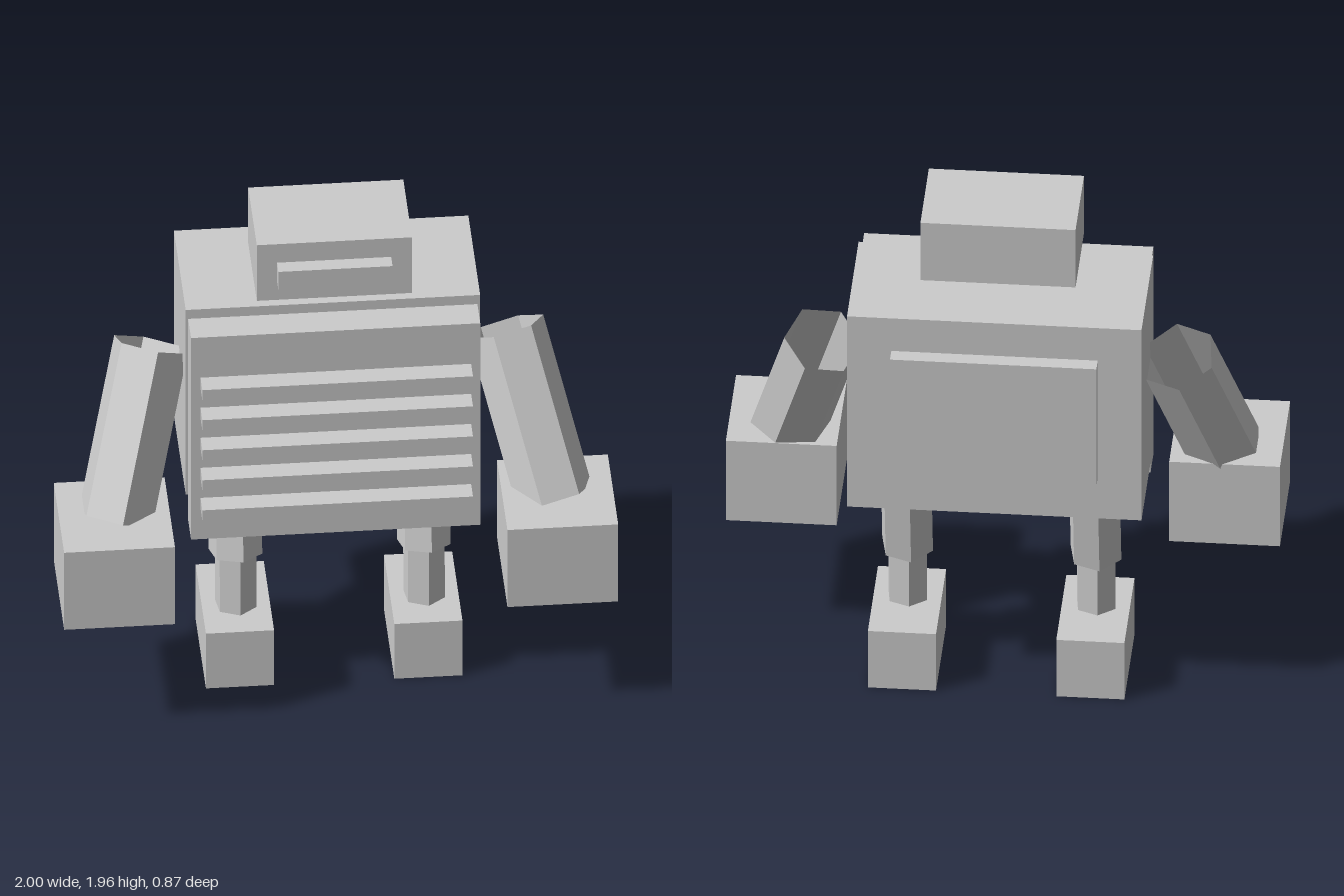
import * as THREE from 'three';

const grey = new THREE.MeshStandardMaterial({ color: 0xcccccc });
grey.name = 'lightGrey';
grey.flatShading = true;
grey.side = THREE.DoubleSide; // limb tubes are open at both ends

export function createModel() {
  const model = new THREE.Group();
  model.name = 'robot';

  // box given by its limits on each axis
  function box(name, [x0, x1], [y0, y1], [z0, z1], parent = model) {
    const mesh = new THREE.Mesh(new THREE.BoxGeometry(x1 - x0, y1 - y0, z1 - z0), grey);
    mesh.position.set((x0 + x1) / 2, (y0 + y1) / 2, (z0 + z1) / 2);
    mesh.name = name;
    parent.add(mesh);
  }

  // open six-sided tube from a bottom point to a top point, turned about its own axis
  function limb(name, bottom, top, radius, twistDegrees) {
    const a = new THREE.Vector3(...bottom);
    const b = new THREE.Vector3(...top);
    const up = b.clone().sub(a);
    const geometry = new THREE.CylinderGeometry(radius, radius, up.length(), 6, 1, true);
    geometry.rotateY(THREE.MathUtils.degToRad(twistDegrees));
    up.normalize();
    const front = new THREE.Vector3(0, 0, 1).addScaledVector(up, -up.z).normalize();
    const side = new THREE.Vector3().crossVectors(up, front);
    geometry.applyMatrix4(new THREE.Matrix4().makeBasis(side, up, front));
    const mesh = new THREE.Mesh(geometry, grey);
    mesh.position.copy(a).add(b).multiplyScalar(0.5);
    mesh.name = name;
    model.add(mesh);
  }

  // head and visor
  box('head', [-0.28, 0.28], [1.715, 1.962], [-0.205, 0.15]);
  box('visor', [-0.207, 0.205], [1.797, 1.88], [0.15, 0.207]);

  // torso with chest plate and back plate
  box('torso', [-0.533, 0.53], [0.84, 1.66], [-0.38, 0.108]);
  box('chestPlate', [-0.524, 0.52], [0.725, 1.62], [0.108, 0.226]);
  box('backPlate', [-0.375, 0.37], [1.015, 1.52], [-0.437, -0.38]);

  // five chest slats
  const slats = new THREE.Group();
  slats.name = 'chestSlats';
  model.add(slats);
  for (let i = 0; i < 5; i++) {
    const y = 0.862 + i * 0.1335;
    box('slat', [-0.49, 0.487], [y, y + 0.046], [0.226, 0.303], slats);
  }

  // arms, hands, legs and feet
  for (const [s, label, armTwist] of [[1, 'left', -17], [-1, 'right', 0]]) {
    const span = (a, b) => (s > 0 ? [a, b] : [-b, -a]);
    limb(label + 'Arm', [s * 0.791, 0.8, 0.17], [s * 0.641, 1.365, -0.098], 0.142, armTwist);
    box(label + 'Hand', span(0.6, 1), [0.503, 0.845], [0.002, 0.432]);
    limb(label + 'Thigh', [s * 0.34, 0.468, -0.042], [s * 0.34, 0.95, -0.131], 0.099, 12);
    limb(label + 'Shin', [s * 0.34, 0.2, -0.033], [s * 0.34, 0.5, -0.042], 0.078, 8);
    box(label + 'Foot', span(0.217, 0.463), [0, 0.243], [-0.283, 0.143]);
  }
  return model;
}
